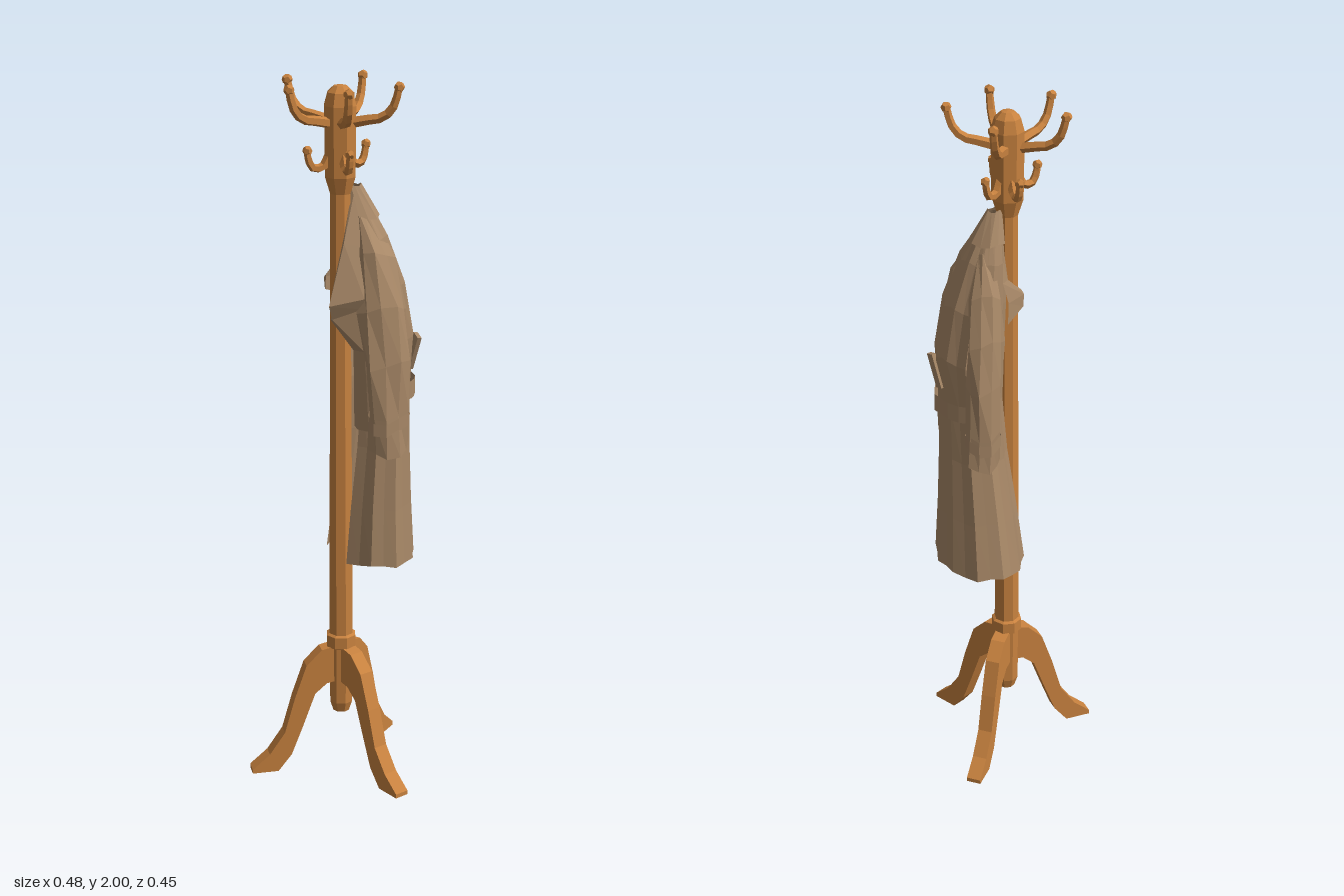
import * as THREE from 'three';

const wood = new THREE.MeshStandardMaterial({ color: 0xc8823f, flatShading: true });
wood.name = 'warm wood';
const cloth = new THREE.MeshStandardMaterial({ color: 0xa98968, flatShading: true, side: THREE.DoubleSide });
cloth.name = 'tan cloth';

function add(parent, name, geometry, material) {
  const mesh = new THREE.Mesh(geometry, material);
  mesh.name = name;
  parent.add(mesh);
  return mesh;
}

// Skin a list of cross-sections, each an array of [x, y, z]
function loft(rings, closed) {
  const n = rings[0].length, index = [];
  const cols = closed ? n : n - 1;
  for (let i = 0; i < rings.length - 1; i++) {
    for (let j = 0; j < cols; j++) {
      const a = i * n + j, b = i * n + (j + 1) % n, c = b + n;
      index.push(a, b, a + n, b, c, a + n);
    }
  }
  const g = new THREE.BufferGeometry();
  g.setAttribute('position', new THREE.Float32BufferAttribute(rings.flat(2), 3));
  g.setIndex(index);
  g.computeVertexNormals();
  return g;
}

const lathe = (pts, sides) =>
  new THREE.LatheGeometry(pts.map(([r, y]) => new THREE.Vector2(r, y)), sides);

// Curved tapering peg running outward along +x, with a knob on its tip
function makeHook(name, pts, radius) {
  const hook = new THREE.Group();
  hook.name = name;
  const path = new THREE.CatmullRomCurve3(pts.map(([x, y]) => new THREE.Vector3(x, y, 0)));
  const steps = 7, sides = 5;
  const arm = new THREE.TubeGeometry(path, steps, radius, sides);
  const pos = arm.attributes.position, v = new THREE.Vector3();
  for (let i = 0; i < pos.count; i++) {
    const t = Math.floor(i / (sides + 1)) / steps, c = path.getPointAt(t);
    v.fromBufferAttribute(pos, i).sub(c).multiplyScalar(1.4 - 0.45 * t).add(c);
    pos.setXYZ(i, v.x, v.y, v.z);
  }
  add(hook, 'hookArm', arm, wood);
  const knob = add(hook, 'hookKnob', new THREE.DodecahedronGeometry(radius * 1.35), wood);
  knob.position.copy(path.getPoint(1));
  return hook;
}

function makeStand() {
  const stand = new THREE.Group();
  stand.name = 'stand';
  add(stand, 'pole', lathe([[0, 0.165], [0.024, 0.17], [0.034, 0.2], [0.036, 0.37], [0.044, 0.375],
    [0.044, 0.41], [0.036, 0.415], [0.029, 1.72]], 8), wood);
  add(stand, 'head', lathe([[0.028, 1.69], [0.044, 1.74], [0.046, 1.93], [0.036, 1.965],
    [0.018, 1.982], [0, 1.985]], 8), wood);

  // Three splayed legs cut from one curved profile
  const profile = [[0.02, 0.38], [0.065, 0.37], [0.11, 0.325], [0.145, 0.225], [0.175, 0.12],
    [0.22, 0.055], [0.271, 0.012], [0.271, 0], [0.195, 0], [0.155, 0.05], [0.12, 0.14],
    [0.085, 0.235], [0.05, 0.265], [0.02, 0.27]];
  const legGeo = new THREE.ExtrudeGeometry(
    new THREE.Shape(profile.map(([x, y]) => new THREE.Vector2(x, y))),
    { depth: 0.042, bevelEnabled: false });
  legGeo.translate(0, 0, -0.021);
  for (const [x, z, shift] of [[0.035, -0.275, 0.009], [-0.218, 0.152, -0.004], [0.24, 0.135, 0.005]]) {
    const leg = add(stand, 'leg', legGeo, wood);
    leg.rotation.y = Math.atan2(-z, x);
    leg.translateX(shift);
  }

  // Five long upper hooks
  const upper = [[0.03, 1.885], [0.075, 1.895], [0.12, 1.905], [0.148, 1.935], [0.162, 1.985]];
  for (const [x, z] of [[0, -0.16], [0.16, -0.015], [0.085, 0.145], [-0.09, 0.14], [-0.16, -0.02]]) {
    const hook = makeHook('upperHook', upper, 0.011);
    hook.rotation.y = Math.atan2(-z, x);
    stand.add(hook);
  }
  // Short lower hooks
  const lower = [[0.03, 1.8], [0.05, 1.768], [0.078, 1.768], [0.09, 1.79], [0.094, 1.815]];
  for (const [x, z] of [[0.055, 0.07], [-0.07, 0.07], [-0.045, -0.07], [0.035, -0.075]]) {
    const hook = makeHook('lowerHook', lower, 0.01);
    hook.rotation.y = Math.atan2(-z, x);
    stand.add(hook);
  }
  return stand;
}

// Coat frame: +z is the coat's back, x runs across the shoulders
function makeCoat() {
  const coat = new THREE.Group();
  coat.name = 'coat';

  // Open-fronted arc with fold ripples
  const arc = (y, cx, hw, z0, z1, fold, spread = 2.65, steps = 18) => {
    const ring = [];
    for (let j = 0; j <= steps; j++) {
      const a = spread - 2 * spread * j / steps;
      const r = 1 + fold * (j % 2 ? -1 : 1) * (0.6 + 0.4 * Math.sin(j * 2.3));
      ring.push([cx + hw * r * Math.sin(a), y + fold * 0.08 * Math.sin(j * 1.7),
        (z0 + z1) / 2 + (z1 - z0) / 2 * r * Math.cos(a)]);
    }
    return ring;
  };

  add(coat, 'coatBody', loft([
    arc(1.71, 0, 0.012, 0.03, 0.055, 0), arc(1.66, -0.005, 0.035, 0.02, 0.085, 0.04),
    arc(1.58, -0.015, 0.07, 0.015, 0.125, 0.06), arc(1.45, -0.025, 0.095, 0.01, 0.17, 0.07),
    arc(1.3, -0.03, 0.1, 0.015, 0.195, 0.08), arc(1.16, -0.03, 0.1, 0.02, 0.185, 0.06),
    arc(1.0, -0.022, 0.108, 0.01, 0.188, 0.05), arc(0.82, -0.01, 0.127, -0.01, 0.198, 0.05),
    arc(0.655, 0, 0.146, -0.025, 0.21, 0.05)], false), cloth);

  // Belt across the back with a loose tab
  add(coat, 'belt', loft([1.18, 1.13].map((y) => arc(y, -0.03, 0.108, 0.015, 0.198, 0.03, 1.6, 10)), false), cloth);
  const tab = add(coat, 'beltTab', new THREE.BoxGeometry(0.03, 0.1, 0.012), cloth);
  tab.position.set(-0.065, 1.25, 0.19);
  tab.rotation.set(0.12, 0, 0.3);

  // Sleeves hang from each shoulder: [x, y, z, half width, half depth]
  const sleeves = {
    leftSleeve: [[-0.03, 1.635, 0.06, 0.022, 0.026], [-0.08, 1.54, 0.07, 0.038, 0.055],
      [-0.123, 1.4, 0.072, 0.042, 0.068], [-0.147, 1.25, 0.076, 0.04, 0.064],
      [-0.153, 1.11, 0.075, 0.037, 0.056], [-0.154, 1.0, 0.077, 0.037, 0.056]],
    rightSleeve: [[0.015, 1.6, 0.08, 0.02, 0.025], [0.047, 1.5, 0.1, 0.036, 0.045],
      [0.076, 1.38, 0.116, 0.04, 0.053], [0.09, 1.25, 0.129, 0.04, 0.053],
      [0.096, 1.11, 0.136, 0.036, 0.048], [0.096, 1.01, 0.138, 0.036, 0.047]],
  };
  for (const [name, stations] of Object.entries(sleeves)) {
    const ring = ([x, y, z, hw, hd], i, grow = 1) => Array.from({ length: 9 }, (_, j) => {
      const a = j / 9 * Math.PI * 2;
      const r = grow * (1 + 0.1 * Math.sin(j * 2.4 + i * 1.9));
      return [x + hw * r * Math.cos(a), y + 0.012 * Math.sin(j * 1.3 + i), z + hd * r * Math.sin(a)];
    });
    add(coat, name, loft(stations.map((s, i) => ring(s, i)), true), cloth);
    // Cuff strap
    const [x, , z, hw, hd] = stations[4];
    add(coat, 'cuffStrap', loft([1.1, 1.065].map((y) => ring([x, y, z, hw, hd], 4, 1.06)), true), cloth);
  }

  // Turned-out lapels and raised collar
  add(coat, 'leftLapel', loft([
    [[-0.03, 1.68, 0.06], [-0.015, 1.7, 0.035], [-0.005, 1.7, 0.03]],
    [[-0.08, 1.56, 0.04], [-0.06, 1.57, -0.015], [-0.025, 1.58, 0.0]],
    [[-0.13, 1.43, 0.015], [-0.095, 1.41, -0.073], [-0.045, 1.45, -0.02]],
    [[-0.12, 1.4, 0.015], [-0.085, 1.37, -0.06], [-0.05, 1.36, -0.05]],
    [[-0.12, 1.28, 0.02], [-0.09, 1.28, 0], [-0.055, 1.3, 0.015]],
    [[-0.115, 1.05, 0.035], [-0.085, 1.05, 0.015], [-0.05, 1.05, 0.02]]], false), cloth);
  add(coat, 'rightLapel', loft([
    [[0.005, 1.7, 0.03], [0.015, 1.7, 0.035], [0.025, 1.68, 0.06]],
    [[0.025, 1.52, 0.02], [0.035, 1.52, 0.02], [0.05, 1.52, 0.045]],
    [[0.015, 1.47, -0.036], [0.026, 1.46, -0.038], [0.055, 1.46, 0.03]],
    [[0.02, 1.43, -0.036], [0.028, 1.425, -0.034], [0.06, 1.4, 0.035]]], false), cloth);
  add(coat, 'collar', loft([
    arc(1.715, 0, 0.018, 0.02, 0.06, 0.05, 2.4, 8),
    arc(1.63, -0.005, 0.055, 0.015, 0.108, 0.06, 2.2, 8)], false), cloth);
  return coat;
}

export function createModel() {
  const model = new THREE.Group();
  model.name = 'coatStand';
  const stand = makeStand(), coat = makeCoat();
  coat.rotation.y = Math.PI * 0.75;
  for (const part of [stand, coat]) {
    part.position.set(-0.01, 0, 0.055);
    model.add(part);
  }
  return model;
}
